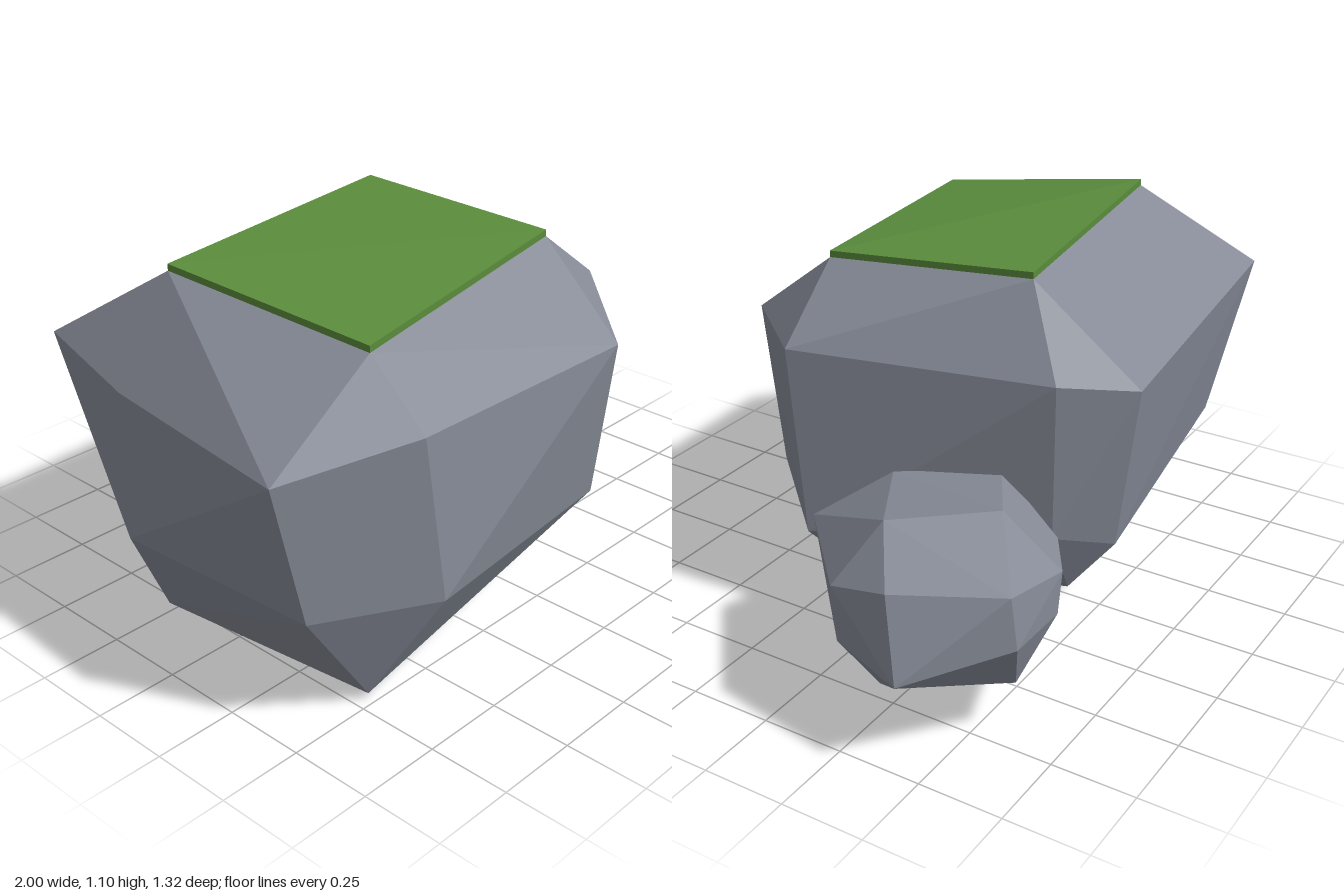
import * as THREE from 'three';

const V = (p) => new THREE.Vector3(...p);

// Collects flat faces; quads are split along the diagonal that bulges outward.
function faceBuilder() {
  const pos = [];
  const tri = (a, b, c) => pos.push(...a, ...b, ...c);
  const quad = (a, b, c, d) => {
    const n = V(b).sub(V(a)).cross(V(c).sub(V(a)));
    if (n.dot(V(d).sub(V(a))) <= 0) { tri(a, b, c); tri(a, c, d); }
    else { tri(a, b, d); tri(b, c, d); }
  };
  const build = () => {
    const g = new THREE.BufferGeometry();
    g.setAttribute('position', new THREE.Float32BufferAttribute(pos, 3));
    g.computeVertexNormals();
    return g;
  };
  return { tri, quad, build };
}

// Chamfered boulder: 4-corner top, two 8-corner rings, 4-corner base.
// All loops run counter-clockwise seen from above.
function boulderGeometry({ top, upper, lower, base }) {
  const { tri, quad, build } = faceBuilder();
  quad(...top);
  quad(...[...base].reverse());
  for (let i = 0; i < 4; i++) {
    const j = (i + 1) % 4, a = 2 * i, b = a + 1, c = (a + 2) % 8;
    tri(top[i], upper[a], upper[b]);
    quad(top[i], upper[b], upper[c], top[j]);
    tri(lower[a], base[i], lower[b]);
    quad(lower[b], base[i], base[j], lower[c]);
  }
  for (let k = 0; k < 8; k++) {
    const n = (k + 1) % 8;
    quad(upper[k], lower[k], lower[n], upper[n]);
  }
  return build();
}

// Thin slab lying on a four-cornered face
function slabGeometry(corners, thickness) {
  const { quad, build } = faceBuilder();
  const raised = corners.map(([x, y, z]) => [x, y + thickness, z]);
  quad(...raised);
  quad(...[...corners].reverse());
  for (let i = 0; i < 4; i++) {
    const j = (i + 1) % 4;
    quad(raised[i], corners[i], corners[j], raised[j]);
  }
  return build();
}

const largeRock = {
  top: [[-0.64, 1.0, 0.435], [0.23, 1.04, 0.305], [0.16, 1.08, -0.335], [-0.75, 1.08, -0.21]],
  upper: [
    [-1.0, 0.76, 0.44], [-0.65, 0.835, 0.635], [0.18, 0.805, 0.615], [0.49, 0.85, 0.28],
    [0.28, 0.835, -0.48], [0.11, 0.8, -0.655], [-0.895, 0.845, -0.56], [-0.95, 0.79, -0.2],
  ],
  lower: [
    [-0.93, 0.35, 0.48], [-0.6, 0.345, 0.66], [0.19, 0.3, 0.54], [0.505, 0.285, 0.215],
    [0.26, 0.35, -0.47], [0.035, 0.25, -0.56], [-0.77, 0.35, -0.48], [-0.985, 0.37, -0.16],
  ],
  base: [[-0.71, 0.02, 0.48], [0.22, 0.02, 0.29], [0.09, 0.09, -0.435], [-0.775, 0, -0.285]],
};

const smallRock = {
  top: [[0.44, 0.53, -0.05], [0.79, 0.605, -0.26], [0.59, 0.61, -0.5], [0.26, 0.53, -0.3]],
  upper: [
    [0.44, 0.45, 0.05], [0.59, 0.41, 0.125], [0.915, 0.445, -0.175], [0.94, 0.495, -0.365],
    [0.78, 0.49, -0.64], [0.54, 0.45, -0.655], [0.32, 0.4, -0.52], [0.22, 0.42, -0.2],
  ],
  lower: [
    [0.47, 0.22, -0.05], [0.61, 0.205, 0.05], [0.915, 0.28, -0.19], [1.0, 0.27, -0.43],
    [0.78, 0.34, -0.66], [0.56, 0.33, -0.655], [0.36, 0.24, -0.54], [0.3, 0.2, -0.25],
  ],
  base: [[0.575, 0.02, -0.145], [0.88, 0.165, -0.3], [0.68, 0.16, -0.6], [0.39, 0.015, -0.37]],
};

export function createModel() {
  const group = new THREE.Group();
  const stone = new THREE.MeshStandardMaterial({ color: 0x858a96, flatShading: true });
  const moss = new THREE.MeshStandardMaterial({ color: 0x5a8c3c, flatShading: true });

  const add = (name, geometry, material) => {
    const mesh = new THREE.Mesh(geometry, material);
    mesh.name = name;
    group.add(mesh);
  };
  add('largeRock', boulderGeometry(largeRock), stone);
  add('smallRock', boulderGeometry(smallRock), stone);
  add('mossCap', slabGeometry(largeRock.top, 0.02), moss);
  return group;
}
